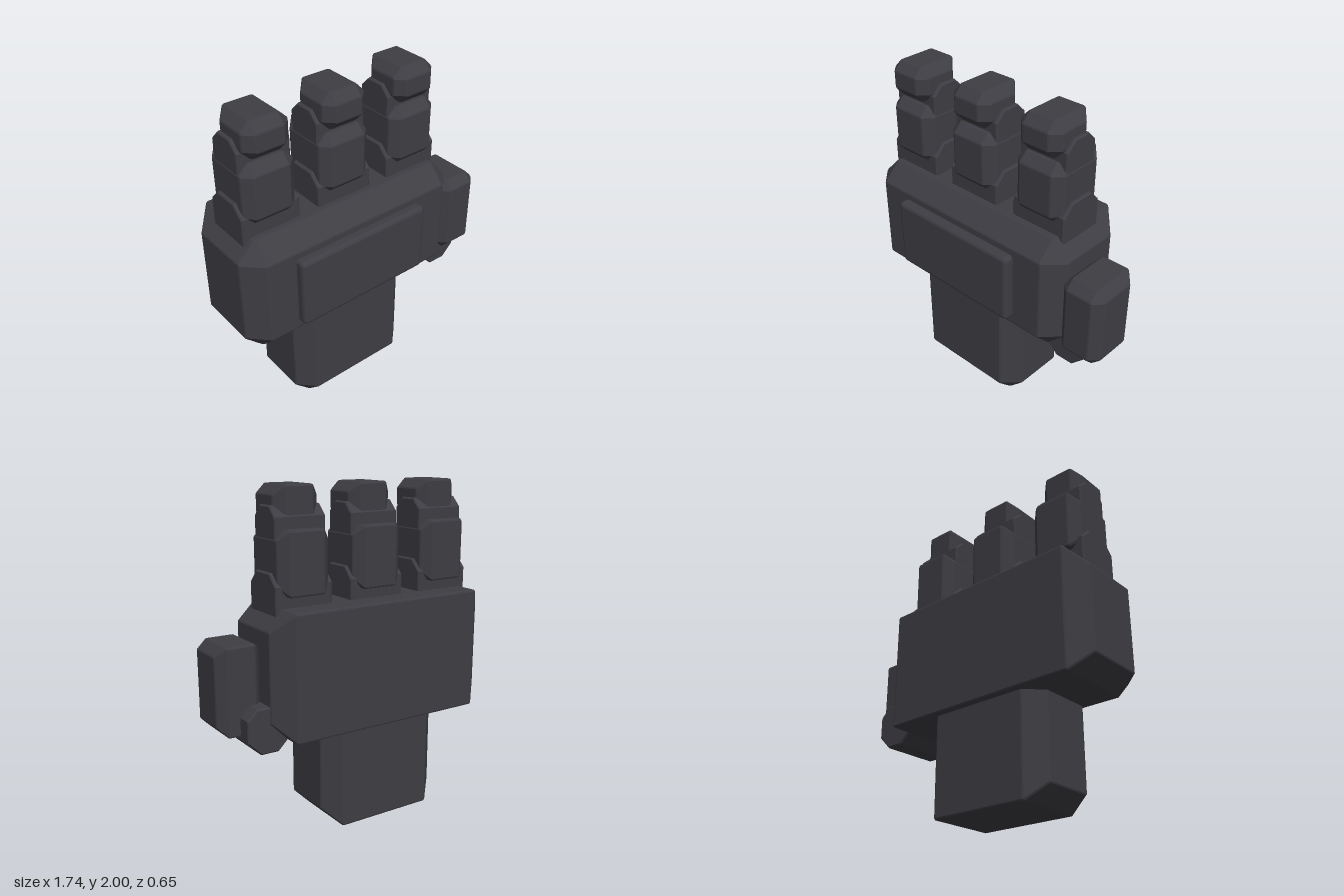
import * as THREE from 'three';
import { ConvexGeometry } from 'three/addons/geometries/ConvexGeometry.js';
import { RoundedBoxGeometry } from 'three/addons/geometries/RoundedBoxGeometry.js';

const darkGrey = new THREE.MeshStandardMaterial({ color: 0x3e3d43 });

function part(name, geometry) {
  const mesh = new THREE.Mesh(geometry, darkGrey);
  mesh.name = name;
  return mesh;
}

// Directions used to soften every edge of an armour block
const softDirs = [];
for (let x = -1; x <= 1; x++)
  for (let y = -1; y <= 1; y++)
    for (let z = -1; z <= 1; z++) {
      const n = Math.abs(x) + Math.abs(y) + Math.abs(z);
      if (n === 1 || n === 2) softDirs.push(new THREE.Vector3(x, y, z).normalize());
    }

// Block with wide chamfers (c) all round, except the upper and lower back edges,
// and a narrow bevel (r) along each remaining edge
function armourBlock([x0, x1], [y0, y1], [z0, z1], c, r = 0.012) {
  const k = c - r * (2 - Math.SQRT2);
  const points = [];
  const add = (x, y, z) => {
    const p = new THREE.Vector3(x, y, z);
    for (const d of softDirs) points.push(p.clone().addScaledVector(d, r));
  };
  const front = z1 - r, back = z0 + r;
  for (const sx of [-1, 1])
    for (const sy of [-1, 1]) {
      const x = sx < 0 ? x0 + r : x1 - r;
      const y = sy < 0 ? y0 + r : y1 - r;
      add(x - sx * k, y - sy * k, front);
      add(x - sx * k, y, front - k);
      add(x, y - sy * k, front - k);
      add(x - sx * k, y, back);
      add(x, y - sy * k, back + k);
    }
  return new ConvexGeometry(points);
}

// Outline extruded along z with a slight bevel, centred on z = 0
function prism(outline, depth, bevel = 0.008) {
  const shape = new THREE.Shape(outline.map(([x, y]) => new THREE.Vector2(x, y)));
  const geometry = new THREE.ExtrudeGeometry(shape, {
    depth: depth - 2 * bevel, bevelThickness: bevel, bevelSize: bevel,
    bevelOffset: -bevel, bevelSegments: 1,
  });
  return geometry.translate(0, 0, bevel - depth / 2);
}

// Hinge bracket across a finger: side outline with cut upper corners
function bracket(width, [y0, y1], [z0, z1], cut) {
  const outline = [
    [-z1, y0], [-z0, y0], [-z0, y1 - cut], [-z0 - cut, y1], [-z1 + cut, y1], [-z1, y1 - cut],
  ];
  return prism(outline, width).rotateY(Math.PI / 2);
}

function createFinger(x) {
  const finger = new THREE.Group();
  finger.name = 'finger';
  finger.position.x = x;
  finger.add(
    part('knuckleBracket', bracket(0.366, [1.2, 1.53], [-0.175, 0.12], 0.07)),
    part('fingerSegment', armourBlock([-0.164, 0.164], [1.4, 1.765], [-0.212, 0.157], 0.055)),
    part('tipBracket', bracket(0.322, [1.66, 1.89], [-0.14, 0.09], 0.06)),
    part('fingertip', armourBlock([-0.141, 0.141], [1.785, 2.0], [-0.133, 0.163], 0.055)),
  );
  return finger;
}

export function createModel() {
  const hand = new THREE.Group();
  hand.name = 'mechanicalHand';

  // Palm, wrist and raised plate
  hand.add(part('palm', armourBlock([-0.873, 0.612], [0.6, 1.34], [-0.328, 0.265], 0.11)));
  hand.add(part('wrist', armourBlock([-0.54, 0.275], [0, 0.78], [-0.288, 0.232], 0.1)));
  const plate = part('palmPlate', new RoundedBoxGeometry(0.89, 0.44, 0.1, 3, 0.03));
  plate.position.set(-0.135, 0.97, 0.274);
  hand.add(plate);

  // Fingers
  for (let i = 0; i < 3; i++) hand.add(createFinger(-0.624 + i * 0.491));

  // Thumb with its hinge
  const thumb = new THREE.Group();
  thumb.name = 'thumb';
  const hinge = part('thumbHinge', prism([
    [0.48, 0.62], [0.56, 0.54], [0.67, 0.54], [0.75, 0.62], [0.75, 0.75], [0.69, 0.81], [0.48, 0.81],
  ], 0.37));
  hinge.position.z = -0.027;
  thumb.add(hinge);
  thumb.add(part('thumbSegment', armourBlock([0.59, 0.87], [0.638, 1.155], [-0.122, 0.21], 0.055)));
  hand.add(thumb);

  return hand;
}
